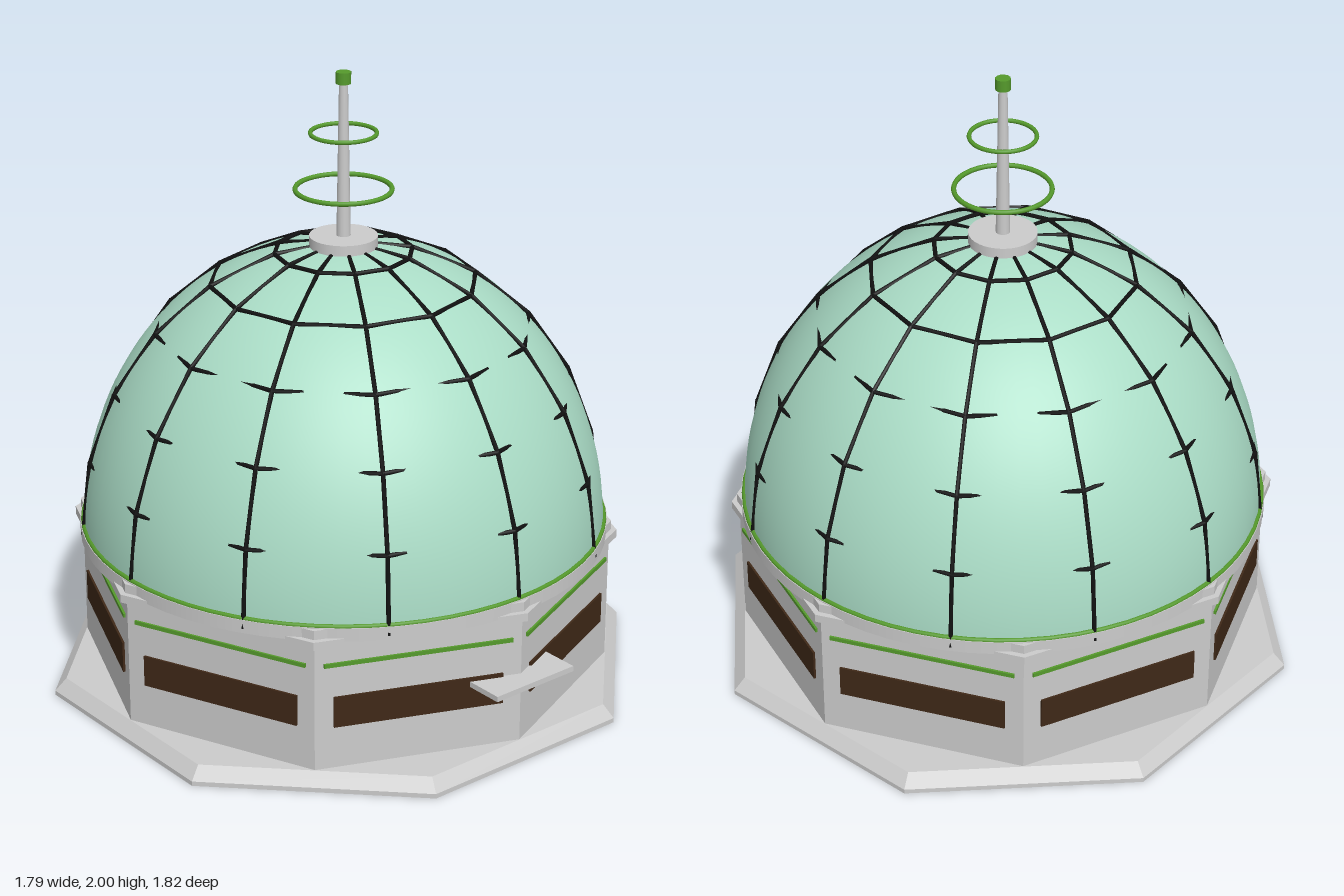
import * as THREE from 'three';
import { mergeGeometries } from 'three/addons/utils/BufferGeometryUtils.js';

const mat = (color, flat = false) => new THREE.MeshStandardMaterial({ color, flatShading: flat });
const grey = mat(0xcccccc), greyFlat = mat(0xcccccc, true);
const green = mat(0x559a2c), brown = mat(0x3f2817), black = mat(0x111111);
const copper = mat(0xaadcc6);

export function createModel() {
  const model = new THREE.Group();
  model.name = 'domedPavilion';
  const body = new THREE.Group();
  body.name = 'body';
  body.position.z = -0.017;
  model.add(body);

  const add = (name, geometry, material, x = 0, y = 0, z = 0, parent = body) => {
    const mesh = new THREE.Mesh(geometry, material);
    mesh.name = name;
    mesh.position.set(x, y, z);
    parent.add(mesh);
    return mesh;
  };
  // Upright prism or cylinder spanning y0..y1
  const drum = (name, rBottom, rTop, y0, y1, sides, material) =>
    add(name, new THREE.CylinderGeometry(rTop, rBottom, y1 - y0, sides), material, 0, (y0 + y1) / 2);
  const hoop = (name, radius, tube, y) =>
    add(name, new THREE.TorusGeometry(radius, tube, 8, 64).rotateX(Math.PI / 2), green, 0, y);

  // Octagonal plinth with bevelled top, turned half a side against the walls
  const toCorner = 1 / Math.cos(Math.PI / 8);
  drum('plinth', 0.897 * toCorner, 0.897 * toCorner, 0, 0.015, 8, greyFlat).rotation.y = Math.PI / 8;
  drum('plinthBevel', 0.897 * toCorner, 0.862 * toCorner, 0.015, 0.055, 8, greyFlat).rotation.y = Math.PI / 8;

  // Octagonal walls and cornice
  const wallRadius = 0.86;
  drum('walls', wallRadius, wallRadius, 0.05, 0.48, 8, greyFlat);
  drum('cornice', 0.884, 0.884, 0.473, 0.5, 8, greyFlat);
  drum('corniceTop', 0.866, 0.866, 0.5, 0.53, 8, greyFlat);
  drum('domeCurb', 0.852, 0.852, 0.49, 0.533, 64, grey);

  // A window band and a trim strip on each wall
  const apothem = wallRadius / toCorner;
  for (let i = 0; i < 8; i++) {
    const side = new THREE.Group();
    side.name = 'wallSide';
    side.rotation.y = Math.PI / 8 + (i * Math.PI) / 4;
    body.add(side);
    add('window', new THREE.BoxGeometry(0.54, 0.102, 0.014), brown, 0, 0.246, apothem, side);
    add('trimStrip', new THREE.BoxGeometry(0.6, 0.013, 0.014), green, 0, 0.406, apothem, side);
  }

  // Entrance canopy
  add('canopy', new THREE.BoxGeometry(0.314, 0.018, 0.13), grey, 0, 0.276, 0.862);

  // Smooth dome
  const domeY = 0.505;
  const dome = add('dome', new THREE.SphereGeometry(1, 64, 32, 0, Math.PI * 2, 0, Math.PI / 2), copper, 0, domeY);
  dome.scale.set(0.84, 0.942, 0.84);
  hoop('domeRim', 0.842, 0.008, 0.534);

  // Straight-sided lattice of ribs and rings that breaks through the dome surface
  const joint = (level, rib) => {
    const up = (level * Math.PI) / 12, around = (rib * Math.PI) / 6;
    return new THREE.Vector3(
      0.846 * Math.cos(up) * Math.sin(around), 0.949 * Math.sin(up), 0.846 * Math.cos(up) * Math.cos(around));
  };
  const bar = (a, b) => {
    const dir = b.clone().sub(a);
    const turn = new THREE.Quaternion().setFromUnitVectors(new THREE.Vector3(0, 1, 0), dir.clone().normalize());
    const mid = a.clone().add(b).multiplyScalar(0.5);
    return new THREE.CylinderGeometry(0.007, 0.007, dir.length() + 0.004, 6)
      .applyQuaternion(turn).translate(mid.x, mid.y, mid.z);
  };
  const ribs = [], rings = [];
  for (let rib = 0; rib < 12; rib++) {
    for (let level = 0; level < 6; level++) {
      ribs.push(bar(joint(level, rib), joint(level + 1, rib)));
      if (level > 0) rings.push(bar(joint(level, rib), joint(level, rib + 1)));
    }
  }
  add('domeRibs', mergeGeometries(ribs), black, 0, domeY);
  add('domeRings', mergeGeometries(rings), black, 0, domeY);

  // Mast with collar, two hoops and a cap
  drum('mastCollar', 0.108, 0.108, 1.437, 1.473, 32, grey);
  drum('mast', 0.023, 0.014, 1.46, 1.97, 12, grey);
  hoop('lowerHoop', 0.151, 0.008, 1.624);
  hoop('upperHoop', 0.103, 0.007, 1.805);
  drum('mastCap', 0.024, 0.024, 1.963, 2, 12, green);

  return model;
}
